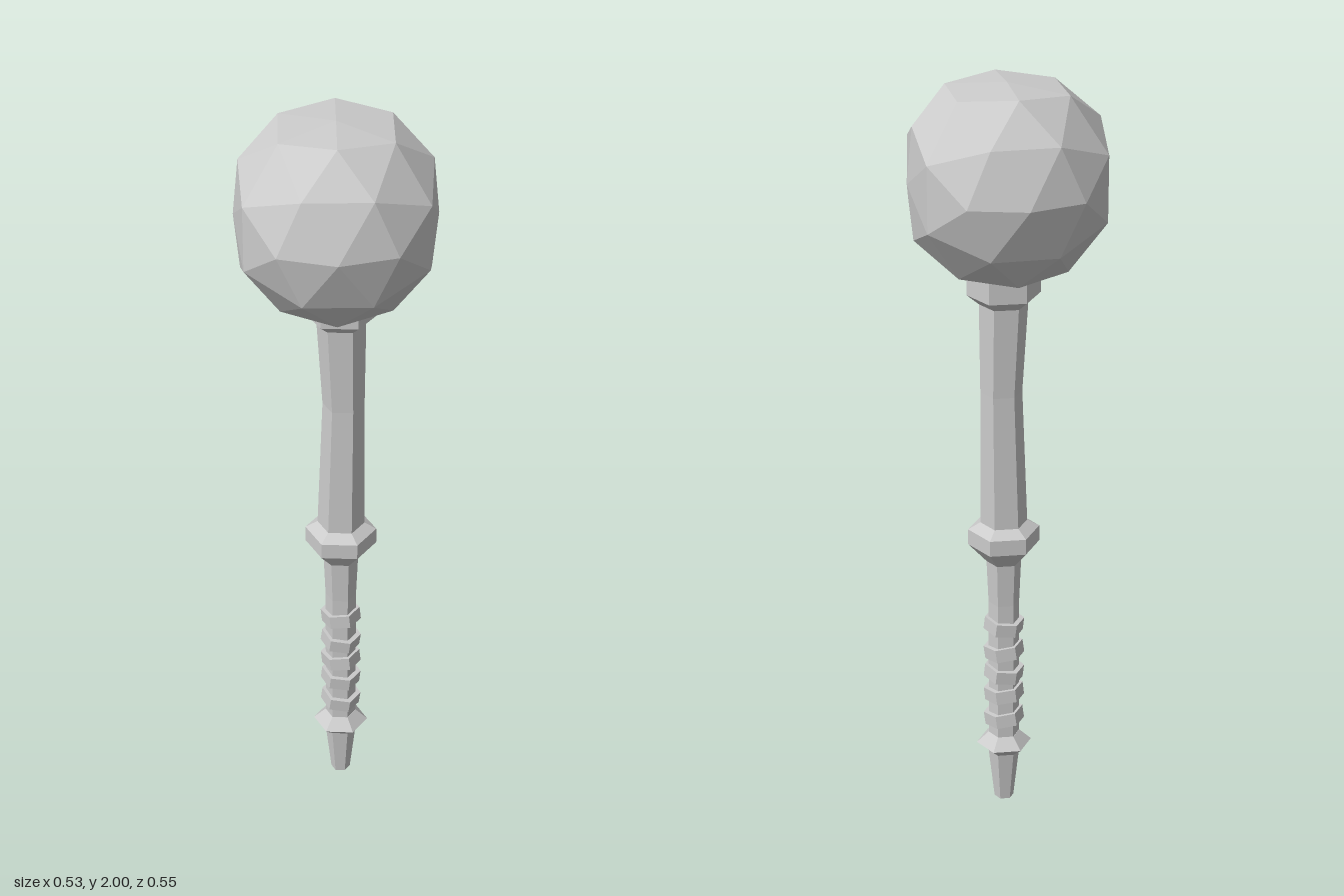
import * as THREE from 'three';

const SIDES = 6;
const AXIS_X = -0.003, AXIS_Z = -0.028; // the stick sits slightly behind the head's centre

const material = new THREE.MeshStandardMaterial({ color: 0xcccccc, flatShading: true });

function addMesh(parent, name, geometry) {
  const mesh = new THREE.Mesh(geometry, material);
  mesh.name = name;
  parent.add(mesh);
  return mesh;
}

// Six-sided turned part from [radius, height] pairs, bottom to top
function turned(profile) {
  return new THREE.LatheGeometry(profile.map(([r, y]) => new THREE.Vector2(r, y)), SIDES);
}

// Faceted ball, a little flattened at its top, bottom and two sides
function headGeometry() {
  const geo = new THREE.IcosahedronGeometry(0.277, 1);
  const pos = geo.attributes.position;
  const limit = 0.243;
  for (let i = 0; i < pos.count; i++) {
    pos.setY(i, THREE.MathUtils.clamp(pos.getY(i), -limit, limit));
    pos.setZ(i, THREE.MathUtils.clamp(pos.getZ(i), -limit - 0.007, limit + 0.007));
  }
  geo.rotateY(THREE.MathUtils.degToRad(-56));
  geo.computeVertexNormals();
  return geo;
}

export function createModel() {
  const model = new THREE.Group();
  model.name = 'mace';

  addMesh(model, 'head', headGeometry()).position.y = 1.757;

  const stick = new THREE.Group();
  stick.name = 'stick';
  stick.position.set(AXIS_X, 0, AXIS_Z);
  model.add(stick);

  // Pommel: tapered tip and pointed ring
  addMesh(stick, 'pommel', turned([
    [0, 0], [0.026, 0], [0.042, 0.145], [0.074, 0.172], [0.042, 0.202], [0, 0.202],
  ]));

  // Grip, flaring into the lower collar
  addMesh(stick, 'grip', turned([[0.041, 0.19], [0.041, 0.6], [0.046, 0.72]]));
  addMesh(stick, 'lowerCollar', turned([
    [0.046, 0.72], [0.094, 0.772], [0.094, 0.815], [0.06, 0.835], [0, 0.835],
  ]));

  // Shaft with a slight waist and bend
  const shaft = turned([[0.062, 0.825], [0.054, 1.2], [0.063, 1.45]]);
  const pos = shaft.attributes.position;
  for (let i = 0; i < pos.count; i++) {
    if (Math.abs(pos.getY(i) - 1.2) < 0.01) {
      pos.setX(i, pos.getX(i) + 0.005);
      pos.setZ(i, pos.getZ(i) - 0.004);
    }
  }
  shaft.computeVertexNormals();
  addMesh(stick, 'shaft', shaft);

  // Collar that holds the head
  addMesh(stick, 'upperCollar', turned([
    [0.06, 1.437], [0.094, 1.465], [0.094, 1.53], [0, 1.55],
  ]));

  // Tilted wrap bands on the grip: [height, tilt]
  [[0.533, 0.12], [0.455, -0.15], [0.39, 0.12], [0.327, -0.12], [0.253, -0.15]].forEach(([y, tilt], i) => {
    const band = addMesh(stick, 'gripBand' + (i + 1), new THREE.CylinderGeometry(0.053, 0.053, 0.036, SIDES));
    band.position.y = y;
    band.rotation.z = tilt;
  });

  return model;
}
